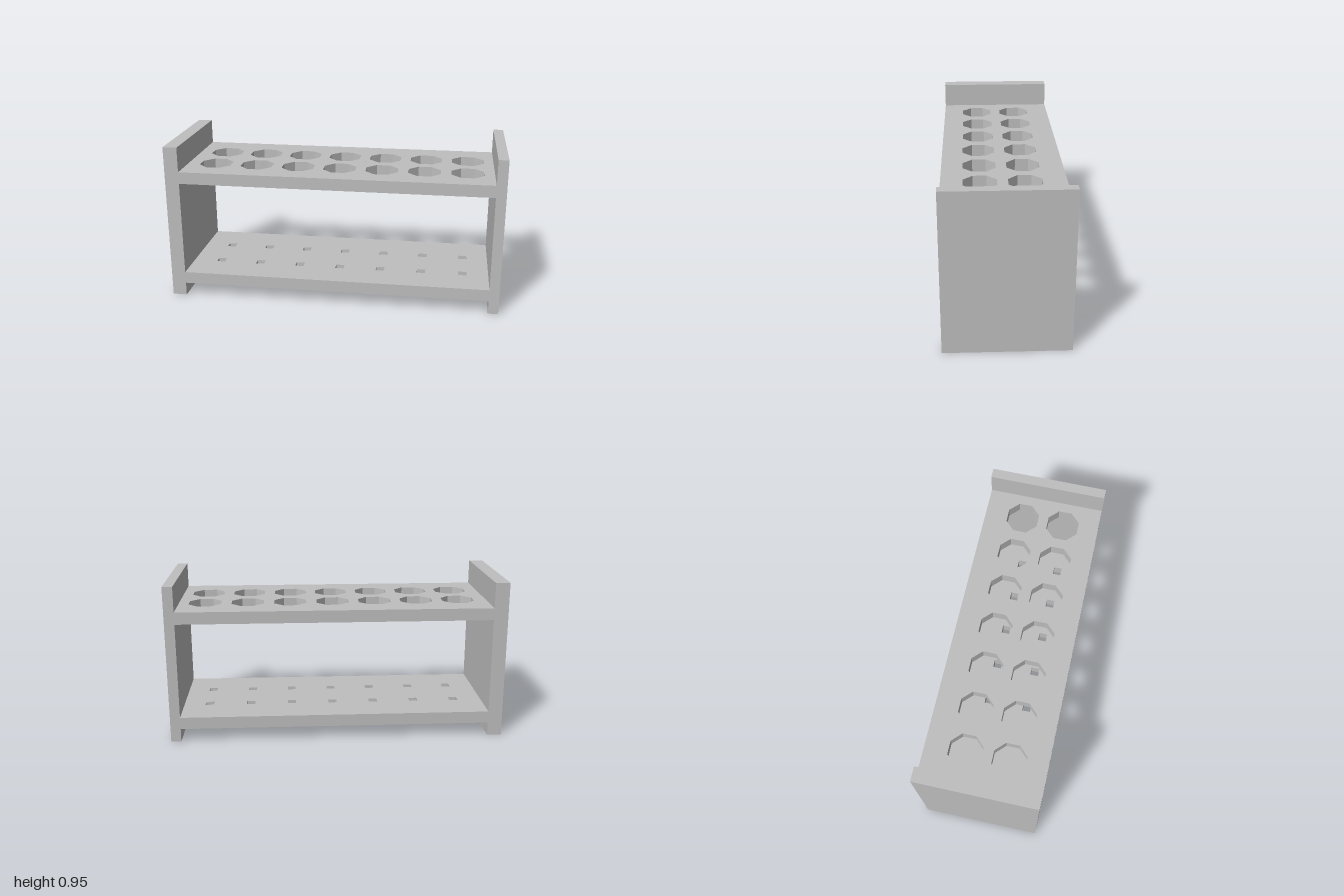
import * as THREE from 'three';

const DEPTH = 0.71;
const HEIGHT = 0.947;
const LEFT_INNER = 0.94;
const RIGHT_INNER = -0.915;
const COLUMNS = 7;
const FIRST_X = -0.742, PITCH = 0.2542;
const ROWS = [-0.12, 0.134];

// Regular polygon hole with flats facing the axes; apothem = centre to flat
function polygonHole(x, z, sides, apothem) {
  const path = new THREE.Path();
  const r = apothem / Math.cos(Math.PI / sides);
  for (let i = 0; i < sides; i++) {
    const a = ((i + 0.5) / sides) * Math.PI * 2;
    const px = x + r * Math.cos(a), py = -z + r * Math.sin(a);
    if (i === 0) path.moveTo(px, py);
    else path.lineTo(px, py);
  }
  path.closePath();
  return path;
}

// Horizontal shelf between the end panels, pierced by two rows of holes
function shelf(name, bottom, top, sides, apothem, material) {
  const d = DEPTH / 2;
  const shape = new THREE.Shape([
    new THREE.Vector2(RIGHT_INNER, -d), new THREE.Vector2(LEFT_INNER, -d),
    new THREE.Vector2(LEFT_INNER, d), new THREE.Vector2(RIGHT_INNER, d),
  ]);
  for (const z of ROWS) {
    for (let i = 0; i < COLUMNS; i++) {
      shape.holes.push(polygonHole(FIRST_X + i * PITCH, z, sides, apothem));
    }
  }
  const geometry = new THREE.ExtrudeGeometry(shape, { depth: top - bottom, bevelEnabled: false });
  geometry.rotateX(-Math.PI / 2);
  geometry.translate(0, bottom, 0);
  const mesh = new THREE.Mesh(geometry, material);
  mesh.name = name;
  return mesh;
}

// Upright end panel spanning x0..x1
function endPanel(name, x0, x1, material) {
  const mesh = new THREE.Mesh(new THREE.BoxGeometry(x1 - x0, HEIGHT, DEPTH), material);
  mesh.position.set((x0 + x1) / 2, HEIGHT / 2, 0);
  mesh.name = name;
  return mesh;
}

export function createModel() {
  const grey = new THREE.MeshStandardMaterial({ color: 0xbfbfbf });
  grey.name = 'light grey';

  const rack = new THREE.Group();
  rack.name = 'tubeRack';
  rack.add(
    endPanel('rightEndPanel', -1, RIGHT_INNER, grey),
    endPanel('leftEndPanel', LEFT_INNER, 1, grey),
    // Upper shelf with wide eight-sided tube holes
    shelf('upperShelf', 0.725, 0.797, 8, 0.096, grey),
    // Lower shelf with small square drain holes
    shelf('lowerShelf', 0.08, 0.152, 4, 0.026, grey),
  );
  return rack;
}
